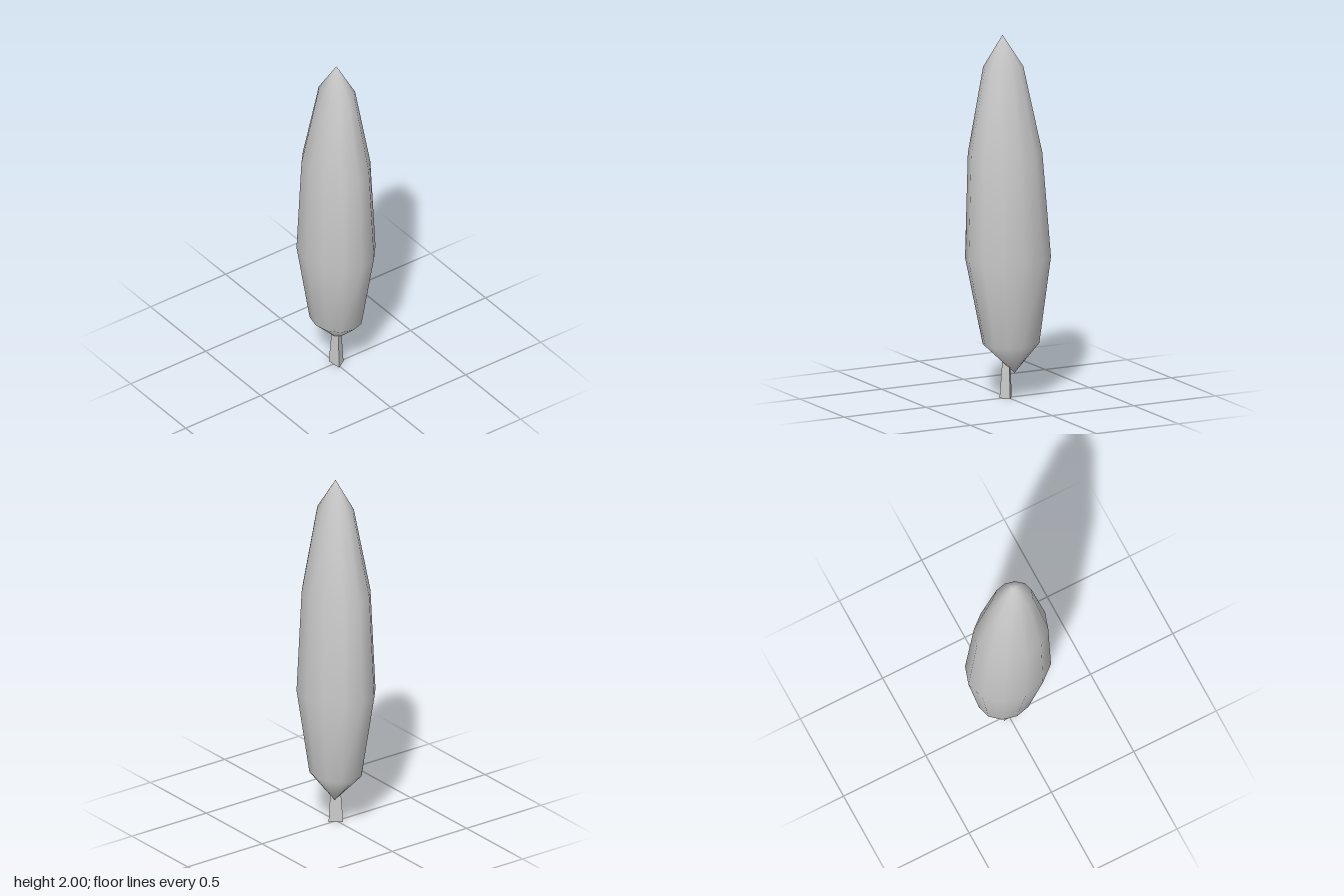
import * as THREE from 'three';

// Skin a stack of closed rings (bottom to top); each ring is a list of [x, y, z]
function loft(rings, bottomTip, topTip) {
  const n = rings[0].length;
  const points = [...rings.flat(), bottomTip, topTip];
  const bottom = points.length - 2, top = points.length - 1;
  const last = (rings.length - 1) * n;
  const index = [];
  for (let i = 0; i < n; i++) {
    const j = (i + 1) % n;
    index.push(bottom, j, i);
    for (let r = 0; r < last; r += n) {
      index.push(r + i, r + j, r + n + j, r + i, r + n + j, r + n + i);
    }
    index.push(last + i, last + j, top);
  }
  const geometry = new THREE.BufferGeometry();
  geometry.setAttribute('position', new THREE.Float32BufferAttribute(points.flat(), 3));
  geometry.setIndex(index);
  geometry.computeVertexNormals();
  return geometry;
}

// Oval ring, ordered counter-clockwise when seen from above
function ovalRing([y, xMin, xMax, zMin, zMax], sides = 12) {
  return Array.from({ length: sides }, (_, i) => {
    const a = (i / sides) * Math.PI * 2;
    return [
      (xMin + xMax) / 2 + ((xMax - xMin) / 2) * Math.cos(a),
      y,
      (zMin + zMax) / 2 - ((zMax - zMin) / 2) * Math.sin(a),
    ];
  });
}

export function createModel() {
  const tree = new THREE.Group();
  tree.name = 'cypressTree';

  // Foliage: slightly leaning, tapered ovals closed by a tip at each end
  const sections = [
    [0.30, -0.17, 0.145, -0.15, 0.125],
    [0.775, -0.24, 0.24, -0.205, 0.20],
    [1.35, -0.195, 0.22, -0.17, 0.185],
    [1.825, -0.09, 0.135, -0.085, 0.105],
  ];
  const foliage = new THREE.Mesh(
    loft(sections.map((s) => ovalRing(s)), [-0.025, 0.14, -0.03], [0.025, 2, 0.013]),
    new THREE.MeshStandardMaterial({ color: 0xcccccc })
  );
  foliage.name = 'foliage';
  tree.add(foliage);

  // Trunk: tapered three-sided post reaching up into the foliage
  const corners = [[-0.035, 0.02], [0.045, 0.01], [0.01, -0.045]];
  const cx = 0.005, cz = -0.007;
  const trunkRing = (y, k) => corners.map(([x, z]) => [cx + (x - cx) * k, y, cz + (z - cz) * k]);
  const trunk = new THREE.Mesh(
    loft([trunkRing(0, 1), trunkRing(0.24, 0.6)], [cx, 0, cz], [cx, 0.24, cz]),
    new THREE.MeshStandardMaterial({ color: 0xcccccc, flatShading: true })
  );
  trunk.name = 'trunk';
  tree.add(trunk);

  return tree;
}
